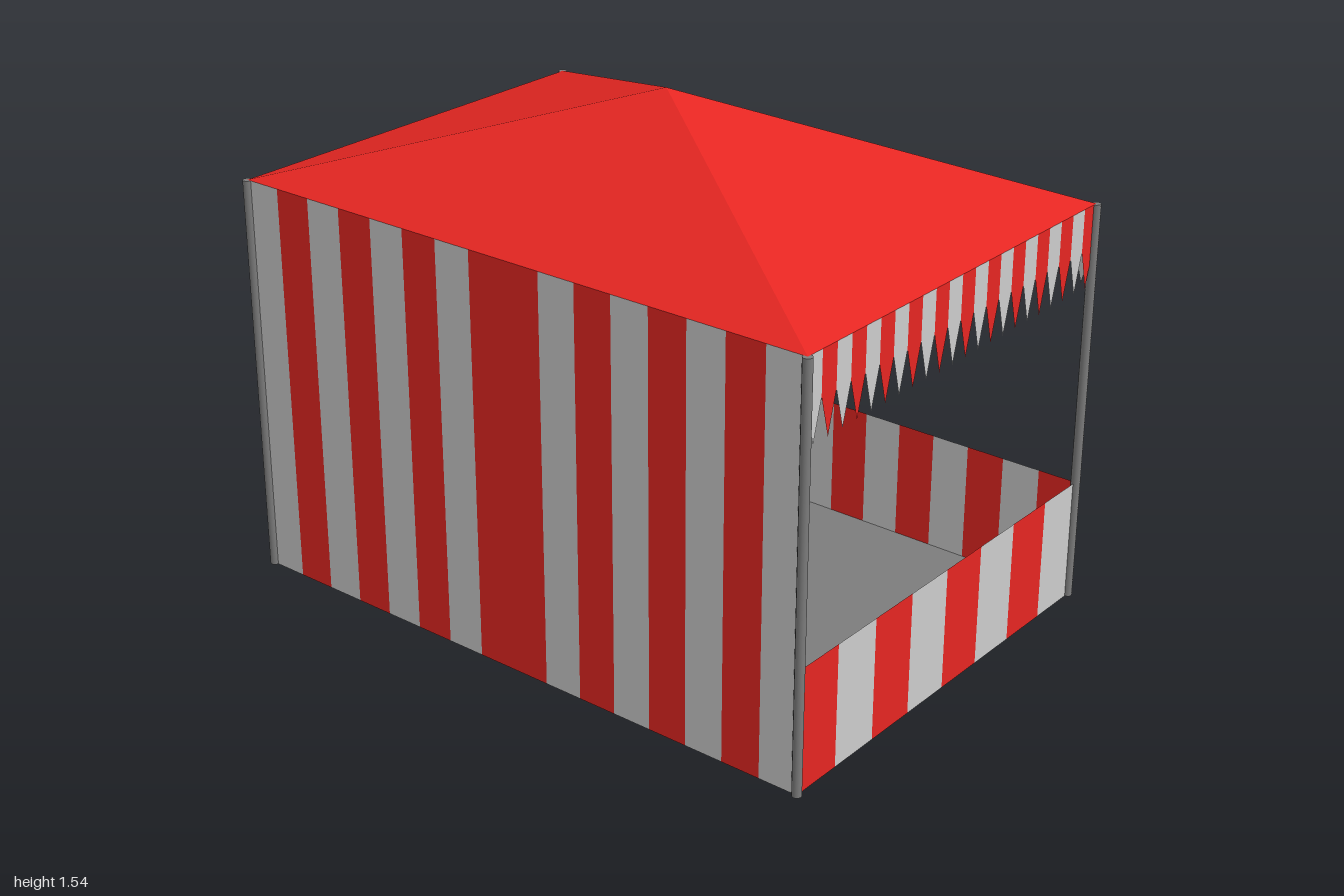
import * as THREE from 'three';
import { mergeGeometries } from 'three/addons/utils/BufferGeometryUtils.js';

const W = 0.985, D = 0.677, H = 1.235, APEX = 1.54, LOW = 0.372;

const paint = (color) => new THREE.MeshStandardMaterial({ color, side: THREE.DoubleSide, flatShading: true });
const RED = paint(0xe62622), WHITE = paint(0xcccccc), GREY = paint(0x7c7c7c);

// One cloth strip from y0 to y1; a tip below y0 gives it a pointed end
function strip(x0, x1, y0, y1, tip) {
  const s = new THREE.Shape();
  s.moveTo(x0, y1);
  s.lineTo(x0, y0);
  if (tip !== undefined) s.lineTo((x0 + x1) / 2, tip);
  s.lineTo(x1, y0);
  s.lineTo(x1, y1);
  return new THREE.ShapeGeometry(s);
}

// Striped cloth from x = start to x = end, alternating colours; mirrored copies the other half
function stripedCloth(name, { start, end, count, redFirst, mirrored, y0, y1, tip }) {
  const sets = [[], []];
  const step = (end - start) / count;
  for (let i = 0; i < count; i++) {
    const set = sets[(i + (redFirst ? 0 : 1)) % 2];
    const a = start + i * step;
    set.push(strip(a, a + step, y0, y1, tip));
    if (mirrored) set.push(strip(-a - step, -a, y0, y1, tip));
  }
  const group = new THREE.Group();
  group.name = name;
  [RED, WHITE].forEach((material, i) => {
    const mesh = new THREE.Mesh(mergeGeometries(sets[i]), material);
    mesh.name = name + (i ? 'WhiteStripes' : 'RedStripes');
    group.add(mesh);
  });
  return group;
}

export function createModel() {
  const tent = new THREE.Group();
  tent.name = 'marketTent';
  const add = (object, x, y, z) => {
    object.position.set(x, y, z);
    tent.add(object);
    return object;
  };

  // Hipped roof, open underneath
  const roofGeometry = new THREE.ConeGeometry(Math.SQRT2, APEX - H, 4, 1, true);
  roofGeometry.rotateY(Math.PI / 4).scale(W, 1, D);
  const roof = add(new THREE.Mesh(roofGeometry, RED), 0, (APEX + H) / 2, 0);
  roof.name = 'roof';

  // Floor sheet
  const floorGeometry = new THREE.PlaneGeometry(2 * W, 2 * D).rotateX(-Math.PI / 2);
  add(new THREE.Mesh(floorGeometry, GREY), 0, 0.001, 0).name = 'floor';

  // Corner posts
  const postGeometry = new THREE.CylinderGeometry(0.014, 0.014, H, 12);
  const postMaterial = new THREE.MeshStandardMaterial({ color: 0x7c7c7c });
  for (const x of [-W, W]) for (const z of [-D, D]) {
    add(new THREE.Mesh(postGeometry, postMaterial), x, H / 2, z).name = 'cornerPost';
  }

  // Full-height front wall and low back wall, striped outwards from the middle
  const half = { start: 0, end: W, count: 8, mirrored: true, y0: 0 };
  add(stripedCloth('frontWall', { ...half, redFirst: true, y1: H }), 0, 0, D);
  add(stripedCloth('backWall', { ...half, redFirst: false, y1: LOW }), 0, 0, -D);

  // Pointed valance on the open back
  const fringe = { y0: 1.107, y1: H, tip: 0.99 };
  add(stripedCloth('backValance', { ...fringe, start: 0, end: W, count: 16, redFirst: true, mirrored: true }), 0, 0, -D);

  // Low walls and valances on the two sides, striped from front to back
  for (const [side, x] of [['left', W], ['right', -W]]) {
    const span = { start: -D, end: D };
    const wall = stripedCloth(side + 'Wall', { ...span, count: 8, redFirst: true, y0: 0, y1: LOW });
    const valance = stripedCloth(side + 'Valance', { ...span, ...fringe, count: 22, redFirst: false });
    for (const cloth of [wall, valance]) add(cloth, x, 0, 0).rotation.y = Math.PI / 2;
  }
  return tent;
}
